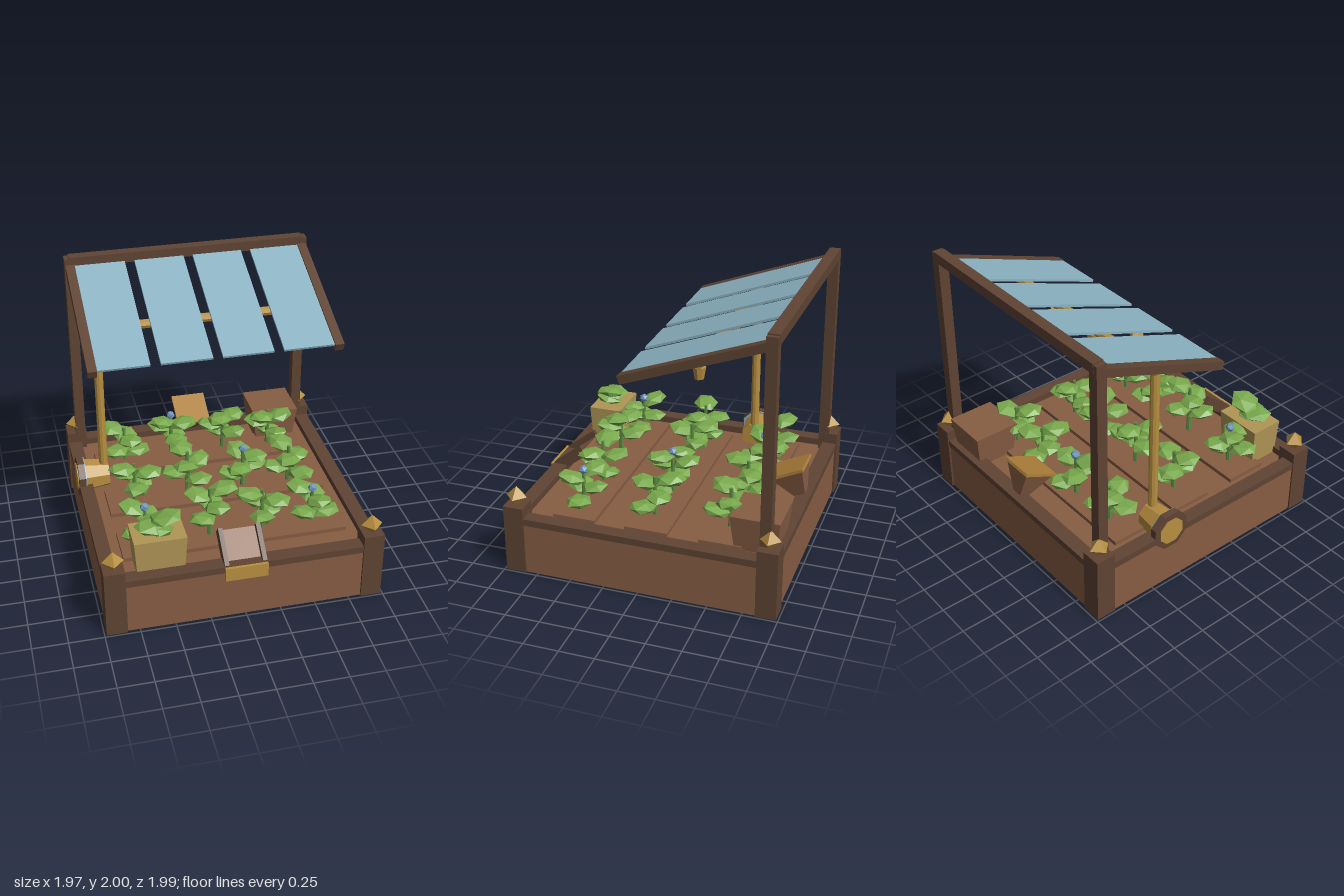
import * as THREE from 'three';

const mat = (name, color) => {
  const m = new THREE.MeshStandardMaterial({ color, flatShading: true });
  m.name = name;
  return m;
};

export function createModel() {
  const wood = mat('wood', 0x875d43), dark = mat('dark wood', 0x5f4433), gold = mat('brass', 0xb78f40),
    tan = mat('pale crate', 0xb19757), amber = mat('amber', 0xae7f3a), leaf = mat('leaf', 0x79a94c),
    stem = mat('stem', 0x5b8a43), glass = mat('glass', 0x8cb3c3), petal = mat('petal', 0x6f96bd),
    under = mat('underside', 0x36271e);
  const root = new THREE.Group();
  root.name = 'gardenBed';

  const add = (name, geo, m, x, y, z, parent = root) => {
    const o = new THREE.Mesh(geo, m);
    o.name = name;
    o.position.set(x, y, z);
    parent.add(o);
    return o;
  };
  // Box given by its two corners
  const slab = (name, m, x0, x1, y0, y1, z0, z1, parent) =>
    add(name, new THREE.BoxGeometry(x1 - x0, y1 - y0, z1 - z0), m,
      (x0 + x1) / 2, (y0 + y1) / 2, (z0 + z1) / 2, parent);
  // Box whose bottom face is scaled by k
  const taper = (w, h, d, k) => {
    const g = new THREE.BoxGeometry(w, h, d), p = g.attributes.position;
    for (let i = 0; i < p.count; i++)
      if (p.getY(i) < 0) p.setXYZ(i, p.getX(i) * k, p.getY(i), p.getZ(i) * k);
    g.computeVertexNormals();
    return g;
  };
  let seed = 11;
  const rnd = () => (seed = (seed * 16807) % 2147483647) / 2147483647;

  // Walls, rims and corner posts
  for (const s of [-1, 1]) {
    const zc = s * 0.925, xc = s * 0.93;
    slab('endWall', wood, -0.88, 0.88, 0, 0.38, zc - 0.045, zc + 0.045);
    slab('endRim', dark, -0.88, 0.88, 0.38, 0.43, zc - 0.053, zc + 0.053);
    slab('sideWall', wood, xc - 0.045, xc + 0.045, 0, 0.38, -0.88, 0.88);
    slab('sideRim', dark, xc - 0.05, xc + 0.05, 0.38, 0.43, -0.88, 0.88);
    for (const t of [-1, 1]) {
      add('cornerPost', new THREE.BoxGeometry(0.147, 0.51, 0.147), dark, s * 0.912, 0.255, t * 0.912);
      add('finial', new THREE.OctahedronGeometry(0.077), gold, s * 0.91, 0.567, t * 0.91);
    }
  }

  // Soil, planting ridges and underside
  slab('soil', wood, -0.89, 0.89, 0.3, 0.375, -0.89, 0.89);
  slab('underside', under, -0.87, 0.87, 0.015, 0.05, -0.87, 0.87);
  for (const z of [-0.535, 0, 0.535])
    add('plantingRidge', taper(0.8 * 2, -0.04, 0.31, 1.04).scale(1, -1, 1).toNonIndexed(), wood, 0, 0.39, z).visible = false;
  root.children.filter(o => !o.visible).forEach(o => root.remove(o));
  for (const z of [-0.535, 0, 0.535]) slab('plantingRidge', wood, -0.805, 0.805, 0.37, 0.405, z - 0.155, z + 0.155);

  // Roof posts and back beam
  for (const s of [-1, 1])
    add('roofPost', new THREE.BoxGeometry(0.075, 1.6, 0.077), dark, s * 0.88, 1.19, -0.878);
  slab('backBeam', dark, -0.885, 0.885, 1.925, 2, -0.92, -0.84);

  // Sloping roof
  const roof = new THREE.Group();
  roof.name = 'roof';
  roof.position.set(0, 1.737, -0.358);
  roof.rotation.x = 0.351;
  root.add(roof);
  for (const s of [-1, 1])
    add('rafter', new THREE.BoxGeometry(0.066, 0.06, 1.08), dark, s * 0.878, 0, -0.017, roof);
  for (const x of [-0.66, -0.22, 0.218, 0.657])
    add('glassPane', new THREE.BoxGeometry(0.368, 0.017, 1.03), glass, x, 0.02, 0, roof);

  // Water pipe with sprinkler cups
  add('uprightPipe', new THREE.CylinderGeometry(0.033, 0.033, 1.21, 10), gold, -0.778, 1.055, -0.338);
  add('overheadPipe', new THREE.CylinderGeometry(0.034, 0.034, 1.53, 8), gold, -0.03, 1.66, -0.345).rotation.z = Math.PI / 2;
  add('pipeElbow', new THREE.IcosahedronGeometry(0.042, 1), gold, -0.778, 1.66, -0.342);
  for (const x of [-0.54, -0.135, 0.27, 0.675])
    add('sprinklerCup', new THREE.CylinderGeometry(0.048, 0.033, 0.085, 8), gold, x, 1.583, -0.34);

  // Pump barrel through the side wall
  const pump = new THREE.Group();
  pump.name = 'pump';
  pump.position.set(0, 0.44, -0.342);
  root.add(pump);
  const disc = (name, m, r0, r1, x0, x1) => {
    const g = new THREE.CylinderGeometry(r0, r1, x1 - x0, 8);
    g.rotateY(Math.PI / 8).rotateZ(-Math.PI / 2);
    add(name, g, m, (x0 + x1) / 2, 0, 0, pump);
  };
  disc('pumpBarrel', gold, 0.1, 0.128, -0.94, -0.745);
  disc('pumpGlass', glass, 0.143, 0.143, -0.93, -0.922);
  disc('pumpRing', dark, 0.15, 0.15, -0.98, -0.93);
  disc('pumpCap', gold, 0.1, 0.105, -0.987, -0.975);

  // Crates
  add('paleCrate', taper(0.365, 0.285, 0.25, 0.9), tan, -0.577, 0.522, 0.772);
  add('brownCrate', taper(0.355, 0.26, 0.35, 0.84), wood, 0.643, 0.505, -0.778);

  // Hopper with a tilted lid at the back
  const hopper = new THREE.Group();
  hopper.name = 'hopper';
  hopper.position.set(0, 0.625, -0.812);
  hopper.rotation.x = 0.44;
  root.add(hopper);
  add('hopperLid', new THREE.BoxGeometry(0.26, 0.022, 0.27), amber, 0, 0, 0, hopper);
  add('hopperBody', taper(0.235, 0.2, 0.245, 0.35), wood, 0, -0.11, 0, hopper);

  // Chute with side rails at the front
  const chute = new THREE.Group();
  chute.name = 'chute';
  chute.position.set(0, 0.475, 0.832);
  chute.rotation.x = 0.66;
  root.add(chute);
  add('chuteBoard', new THREE.BoxGeometry(0.24, 0.03, 0.26), wood, -0.004, 0, 0, chute);
  for (const s of [-1, 1])
    add('chuteRail', new THREE.BoxGeometry(0.032, 0.085, 0.27), dark, -0.004 + s * 0.134, 0.015, 0, chute);
  slab('spillPlate', gold, -0.155, 0.147, 0.325, 0.428, 0.96, 1);

  // Plants: a stem with faceted leaves climbing around it
  const leafAt = (x, y, z, a, r, parent) => {
    const g = new THREE.IcosahedronGeometry(1, 0);
    g.rotateX(0.3 + rnd() * 0.5).scale(r * 1.1, 0.04, r * 0.95);
    const o = add('leaf', g, leaf, x, y, z, parent);
    o.rotation.set(0, -a, 0.15 + (rnd() - 0.5) * 0.25, 'YXZ');
  };
  const plant = (x, z, top, flowerY) => {
    const p = new THREE.Group();
    p.name = 'plant';
    p.position.set(x, 0, z);
    root.add(p);
    add('stem', new THREE.CylinderGeometry(0.013, 0.019, top - 0.4, 6), stem, 0, (top + 0.36) / 2, 0, p);
    const a0 = rnd() * 6.28;
    for (let i = 0; i < 5; i++) {
      const a = a0 + i * 2.513, d = 0.085 + rnd() * 0.02;
      leafAt(Math.cos(a) * d, top - 0.04 - (4 - i) * 0.047, Math.sin(a) * d, a, 0.1, p);
    }
    if (flowerY) add('flower', new THREE.IcosahedronGeometry(0.034, 0), petal, 0, flowerY, 0, p);
  };
  plant(-0.62, 0.53, 0.71, 0.7);
  plant(-0.16, 0.545, 0.81);
  plant(0.22, 0.54, 0.74);
  plant(0.59, 0.54, 0.7, 0.675);
  plant(-0.6, 0.01, 0.74);
  plant(-0.2, -0.01, 0.77);
  plant(0.22, 0, 0.74, 0.725);
  plant(0.57, 0.01, 0.72);
  plant(-0.58, -0.56, 0.7);
  plant(-0.21, -0.57, 0.75, 0.74);
  plant(0.2, -0.56, 0.75);
  plant(0.56, -0.54, 0.72);

  // Sprout in the pale crate
  leafAt(-0.52, 0.765, 0.77, 0.3, 0.115);
  leafAt(-0.62, 0.715, 0.78, 2.9, 0.115);
  leafAt(-0.56, 0.69, 0.8, 1.4, 0.1);
  return root;
}
